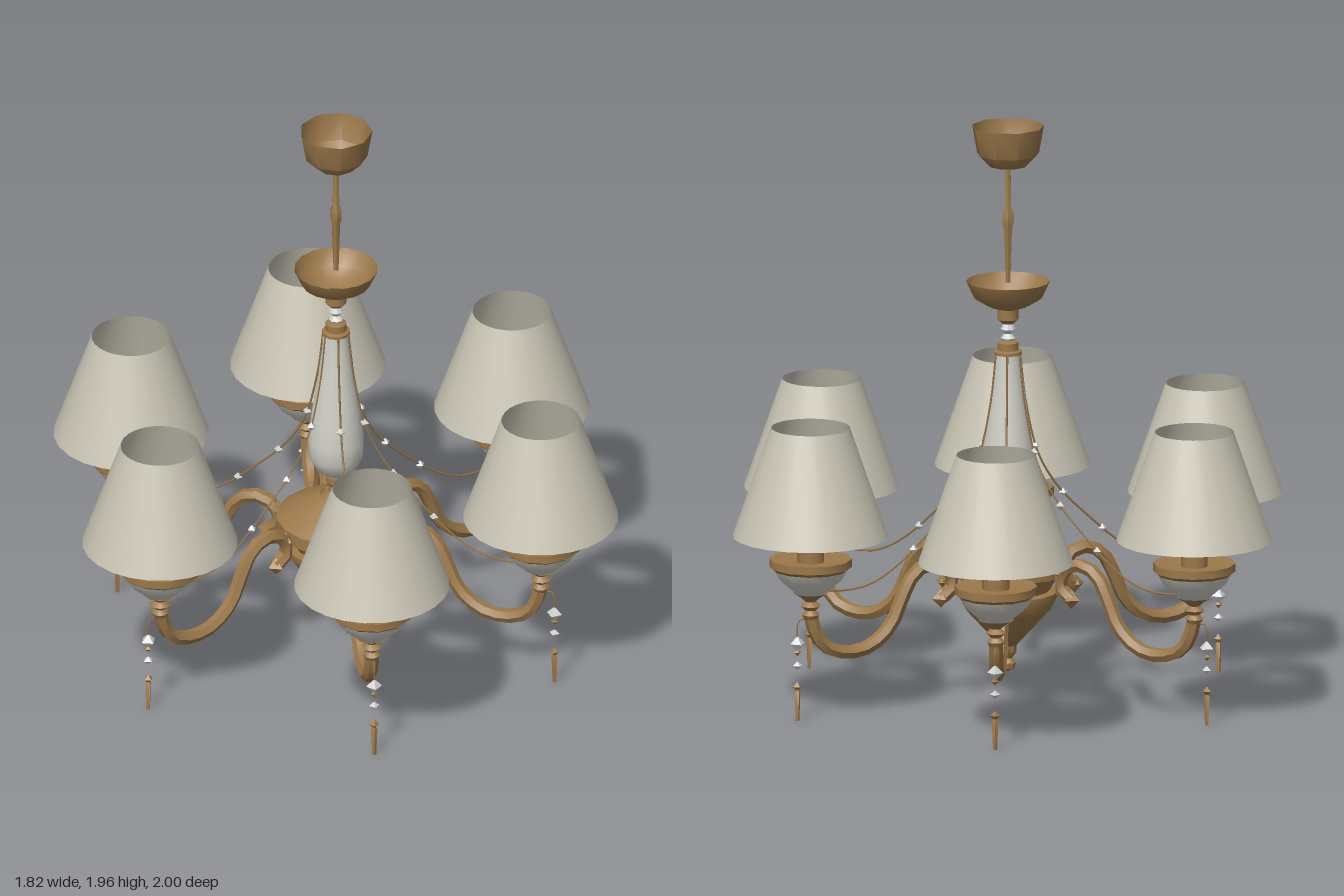
import * as THREE from 'three';
import { toCreasedNormals } from 'three/addons/utils/BufferGeometryUtils.js';

function material(name, color) {
  const m = new THREE.MeshStandardMaterial({ color, side: THREE.DoubleSide });
  m.name = name;
  return m;
}

export function createModel() {
  const bronze = material('bronze', 0x9b784a);
  const fabric = material('shade fabric', 0xc8c4b4);
  const porcelain = material('porcelain', 0xcfcec6);
  const crystal = material('crystal', 0xd2d2d0);

  const add = (parent, name, geometry, mat) => {
    const mesh = new THREE.Mesh(geometry, mat);
    mesh.name = name;
    parent.add(mesh);
    return mesh;
  };
  // Turned part from [radius, height] pairs, listed upwards
  const turned = (parent, name, profile, sides, mat, crease = 0.7) =>
    add(parent, name, toCreasedNormals(
      new THREE.LatheGeometry(profile.map(([r, y]) => new THREE.Vector2(r, y)), sides), crease), mat);
  const gem = (parent, name, x, y, r, stretch, mat) => {
    const mesh = add(parent, name, toCreasedNormals(new THREE.OctahedronGeometry(r, 0), 0.1), mat);
    mesh.position.set(x, y, 0);
    mesh.scale.y = stretch;
    return mesh;
  };
  const path = (points) => new THREE.CatmullRomCurve3(points.map(([x, y]) => new THREE.Vector3(x, y, 0)));

  const model = new THREE.Group();
  model.name = 'chandelier';

  // Central stem, from the ceiling down
  const stem = new THREE.Group();
  stem.name = 'stem';
  model.add(stem);
  turned(stem, 'ceilingCanopy', [[0.001, 1.815], [0.065, 1.82], [0.105, 1.86], [0.122, 1.955]], 9, bronze);
  turned(stem, 'hangingRod', [[0.009, 1.42], [0.015, 1.6], [0.02, 1.62], [0.02, 1.65], [0.012, 1.67], [0.01, 1.82]], 6, bronze);
  turned(stem, 'upperBowl', [[0.001, 1.275], [0.02, 1.28], [0.035, 1.295], [0.035, 1.33], [0.065, 1.34],
    [0.115, 1.37], [0.14, 1.425]], 16, bronze);
  turned(stem, 'crystalNeck', [[0.012, 1.21], [0.025, 1.23], [0.012, 1.245], [0.025, 1.26], [0.015, 1.28]], 8, crystal);
  turned(stem, 'vaseCap', [[0.048, 1.175], [0.048, 1.185], [0.036, 1.19], [0.036, 1.215], [0.012, 1.225]], 10, bronze);
  turned(stem, 'vase', [[0.035, 0.635], [0.07, 0.66], [0.092, 0.71], [0.094, 0.77], [0.082, 0.87],
    [0.062, 1.0], [0.047, 1.12], [0.044, 1.178]], 16, porcelain);
  turned(stem, 'lowerNeck', [[0.055, 0.545], [0.026, 0.57], [0.026, 0.595], [0.036, 0.605], [0.036, 0.63], [0.03, 0.645]], 10, bronze);
  turned(stem, 'hub', [[0.001, 0.175], [0.03, 0.18], [0.14, 0.3], [0.165, 0.345], [0.165, 0.365], [0.14, 0.37],
    [0.17, 0.42], [0.2, 0.43], [0.2, 0.475], [0.13, 0.52], [0.055, 0.555]], 16, bronze);
  turned(stem, 'finial', [[0.001, 0.09], [0.022, 0.1], [0.026, 0.12], [0.014, 0.135], [0.028, 0.155], [0.028, 0.19]], 8, bronze);

  // One branch along +x, repeated around the stem
  function branch() {
    const g = new THREE.Group();
    g.name = 'branch';
    const reach = 0.738;

    // Scrolled arm
    const curve = path([[0.25, 0.365], [0.205, 0.405], [0.225, 0.465], [0.29, 0.487], [0.35, 0.46], [0.39, 0.395],
      [0.44, 0.29], [0.52, 0.228], [0.61, 0.218], [0.69, 0.25], [0.725, 0.31], [0.738, 0.36]]);
    add(g, 'arm', toCreasedNormals(new THREE.TubeGeometry(curve, 18, 0.024, 6, false), 0.8), bronze);
    gem(g, 'scrollEnd', 0.25, 0.365, 0.033, 1, bronze);
    gem(g, 'hubLink', 0.21, 0.45, 0.03, 1, bronze);

    // Lamp: cup, candle, bulb and shade
    const lamp = new THREE.Group();
    lamp.name = 'lamp';
    lamp.position.x = reach;
    g.add(lamp);
    turned(lamp, 'cupNeck', [[0.022, 0.345], [0.03, 0.36], [0.018, 0.375], [0.034, 0.39], [0.018, 0.405],
      [0.034, 0.42], [0.06, 0.435]], 10, bronze);
    turned(lamp, 'cup', [[0.04, 0.425], [0.065, 0.445], [0.105, 0.48], [0.125, 0.515]], 12, porcelain);
    turned(lamp, 'cupRim', [[0.122, 0.512], [0.138, 0.525], [0.138, 0.552], [0.12, 0.552], [0.001, 0.535]], 12, bronze);
    turned(lamp, 'candle', [[0.046, 0.535], [0.046, 0.72], [0.001, 0.72]], 10, bronze);
    const bulb = add(lamp, 'bulb', new THREE.SphereGeometry(0.046, 8, 6), crystal);
    bulb.position.y = 0.76;
    bulb.scale.y = 1.3;
    turned(lamp, 'lampshade', [[0.26, 0.63], [0.132, 1.0]], 24, fabric);

    // Crystal drop on a small hook
    const drop = new THREE.Group();
    drop.name = 'crystalDrop';
    drop.position.x = 0.787;
    g.add(drop);
    add(drop, 'hook', new THREE.TubeGeometry(path([[-0.05, 0.345], [-0.01, 0.345], [0, 0.33], [0, 0.28]]), 8, 0.003, 4), bronze);
    gem(drop, 'topCrystal', 0, 0.265, 0.027, 1, crystal);
    gem(drop, 'clasp', 0, 0.235, 0.013, 1, bronze);
    gem(drop, 'middleCrystal', 0, 0.19, 0.018, 0.8, crystal);
    gem(drop, 'bead', 0, 0.118, 0.017, 1, bronze);
    turned(drop, 'prism', [[0.001, 0], [0.007, 0.002], [0.011, 0.1], [0.001, 0.11]], 4, bronze);

    // Beaded swag from the vase to the cup
    const swag = path([[0.045, 1.18], [0.068, 1.0], [0.115, 0.82], [0.19, 0.7], [0.29, 0.6], [0.42, 0.49],
      [0.52, 0.44], [0.61, 0.43], [0.7, 0.44]]);
    add(g, 'swagWire', new THREE.TubeGeometry(swag, 28, 0.0035, 4), bronze);
    for (const t of [0.3, 0.48, 0.66]) {
      const p = swag.getPointAt(t);
      gem(g, 'swagCrystal', p.x, p.y, 0.016, 1, crystal);
    }
    return g;
  }

  // Hand-set spacing of the six branches, in degrees from +x towards +z
  for (const angle of [31.5, 90, 152, 211.5, 272, 332]) {
    const g = branch();
    g.rotation.y = -THREE.MathUtils.degToRad(angle);
    model.add(g);
  }
  model.position.z = -0.003;

  const root = new THREE.Group();
  root.name = 'model';
  root.add(model);
  return root;
}
